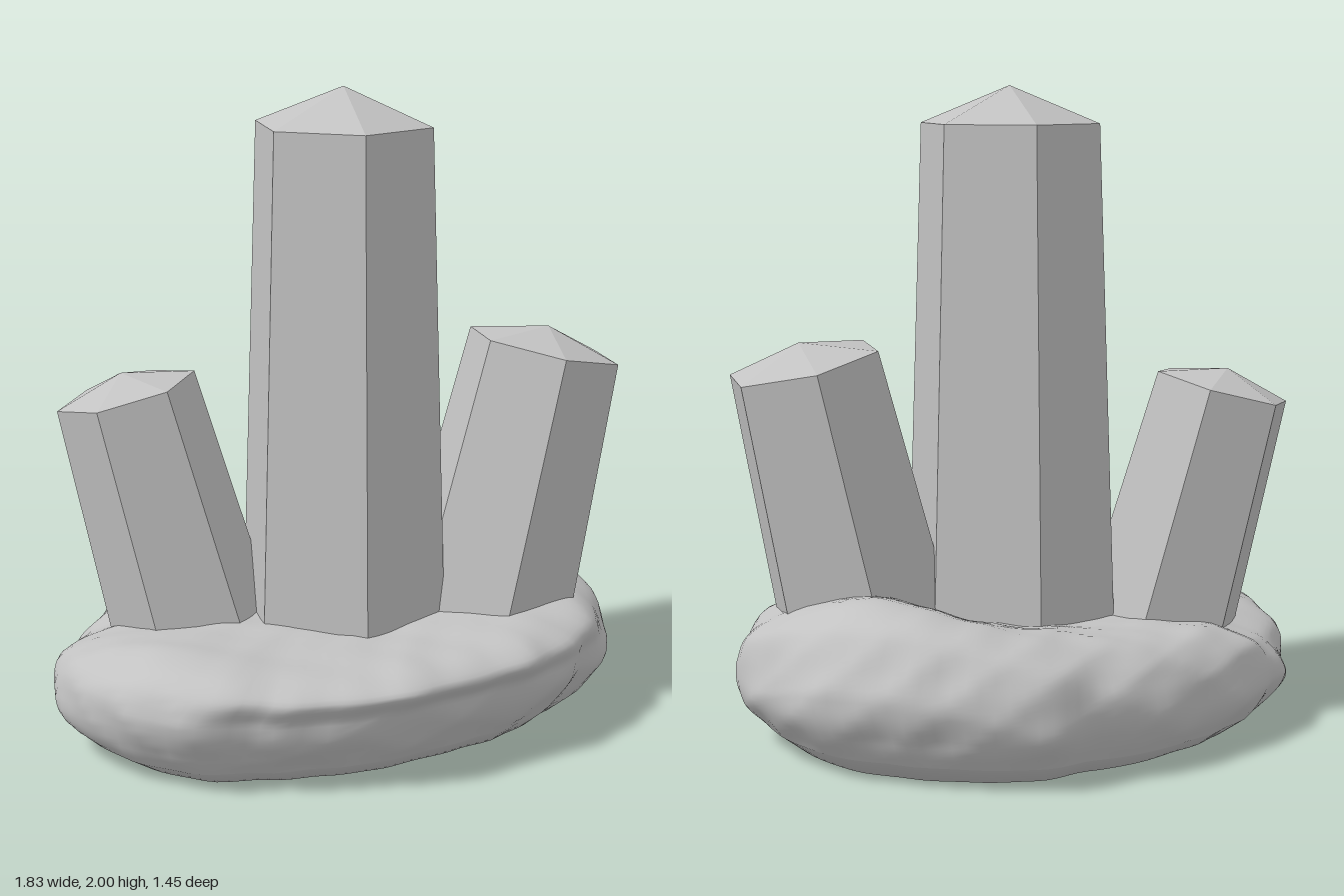
import * as THREE from 'three';

const stone = new THREE.MeshStandardMaterial({ color: 0xc2c2c2 });
stone.name = 'grey stone';

// Six-sided crystal from the centre of its top ring down to y = 0.24
function crystal(name, top, axis, rTop, taper, cap, angle, depth = 1) {
  const dir = new THREE.Vector3(...axis).normalize();
  const end = new THREE.Vector3(...top);
  const len = (end.y - 0.24) / dir.y;
  const profile = [[0, 0], [rTop + taper * len, 0], [rTop, len], [0, len + cap]]
    .map(([x, y]) => new THREE.Vector2(x, y));
  const start = THREE.MathUtils.degToRad(90 - angle);
  const geo = new THREE.LatheGeometry(profile, 6, start).toNonIndexed();
  geo.scale(1, 1, depth);
  geo.computeVertexNormals();
  const mesh = new THREE.Mesh(geo, stone);
  mesh.name = name;
  mesh.quaternion.setFromUnitVectors(new THREE.Vector3(0, 1, 0), dir);
  mesh.position.copy(end).addScaledVector(dir, -len);
  return mesh;
}

// Rock outline seen from above, every 15 degrees from +x towards +z
const radii = [0.91, 0.91, 0.89, 0.8, 0.75, 0.7, 0.685, 0.71, 0.735, 0.79, 0.88, 0.91,
  0.92, 0.9, 0.84, 0.79, 0.75, 0.715, 0.72, 0.725, 0.8, 0.83, 0.865, 0.905];

function outline(a) {
  const t = (a / (Math.PI * 2)) * 24, i = Math.floor(t), f = t - i;
  const w = f * f * (3 - 2 * f);
  return radii[i % 24] * (1 - w) + radii[(i + 1) % 24] * w;
}

const bump = (x, z, cx, cz, wx, wz) =>
  Math.exp(-(((x - cx) / wx) ** 2) - ((z - cz) / wz) ** 2);

// Lumps with a few sharp ridges between them
const lumps = (x, y, z) =>
  Math.sin(7 * x + 3 * z + 8 * y) * 0.3 + Math.sin(11 * z - 6 * x + 13 * y + 1) * 0.3 +
  0.6 - Math.abs(Math.sin(8 * x - 5 * z - 14 * y + 2)) * 0.5 -
  Math.abs(Math.sin(13 * z + 9 * x + 18 * y)) * 0.4 +
  Math.sin(31 * x + 4 * y) * Math.sin(29 * z + 1) * 0.25 + Math.sin(34 * y + 9 * x) * 0.12;

// Height of the rock's upper surface: raised on the left, sunk at the back right
const height = (x, z) => 0.365 + 0.125 * bump(x, z, 0.64, -0.14, 0.28, 0.38) +
  0.05 * bump(x, z, 0.4, -0.5, 0.3, 0.25) + 0.02 * bump(x, z, -0.72, 0.2, 0.25, 0.3) -
  0.08 * bump(x, z, -0.75, -0.4, 0.3, 0.3) - 0.02 * bump(x, z, -0.4, 0.5, 0.3, 0.2);

function rockPoint(a, s, h) {
  const r = outline(a) * s;
  let x = r * Math.cos(a), z = r * Math.sin(a);
  const edge = THREE.MathUtils.smoothstep(s, 0.6, 1);
  let y = h * height(x, z);
  const n = lumps(x, y, z);
  const k = 1 + 0.02 * n * edge * Math.min(1, h * 3);
  // the front leans outwards and ends in a projecting upper rim
  const rim = 0.07 * THREE.MathUtils.smoothstep(h, 0.65, 0.88);
  const lean = Math.max(0, Math.sin(a)) * edge * ((h - 0.74) * 0.11 + rim);
  x *= k;
  z = z * k + lean;
  y += 0.01 * n * THREE.MathUtils.smoothstep(h, 0.2, 1);
  return [x, Math.max(0, y), z];
}

// Closed loops joined from bottom to top
function loft(name, loops) {
  const count = 120, pos = [], index = [];
  loops.forEach(([s, h], j) => {
    for (let i = 0; i < count; i++) {
      pos.push(...rockPoint((i / count) * Math.PI * 2, s, h));
      if (j === loops.length - 1) continue;
      const p = j * count + i, q = j * count + ((i + 1) % count);
      index.push(p, p + count, q, q, p + count, q + count);
    }
  });
  const geo = new THREE.BufferGeometry();
  geo.setAttribute('position', new THREE.Float32BufferAttribute(pos, 3));
  geo.setIndex(index);
  geo.computeVertexNormals();
  const mesh = new THREE.Mesh(geo, stone);
  mesh.name = name;
  return mesh;
}

export function createModel() {
  const model = new THREE.Group();
  model.name = 'crystalCluster';

  // Rock: rounded sides and top, then a flatter underside with a sharp rim
  const side = new THREE.CatmullRomCurve3([
    [0.91, 0.14], [0.96, 0.28], [0.99, 0.42], [0.995, 0.56], [0.975, 0.73], [0.92, 0.88],
    [0.82, 0.98], [0.65, 1], [0.4, 0.98], [0.2, 0.97], [0, 0.97],
  ].map(([s, h]) => new THREE.Vector3(s, h, 0)));
  model.add(loft('rockBody', side.getPoints(44).map((p) => [Math.max(0, p.x), p.y])));
  model.add(loft('rockUnderside', [[0, 0], [0.4, 0], [0.83, 0.01], [0.91, 0.14]]));

  // Crystals: a tall upright one and a leaning one on each side
  model.add(crystal('tallCrystal', [0.027, 1.885, 0.025], [0, 1, 0], 0.28, 0.033, 0.115, -12, 1.04));
  model.add(crystal('leftCrystal', [0.65, 1.165, 0.22], [0.225, 1, 0.05], 0.246, 0.05, 0.065, -11));
  model.add(crystal('rightCrystal', [-0.572, 1.058, -0.288], [-0.225, 1, -0.135], 0.222, 0.045, 0.06, 19));
  return model;
}
